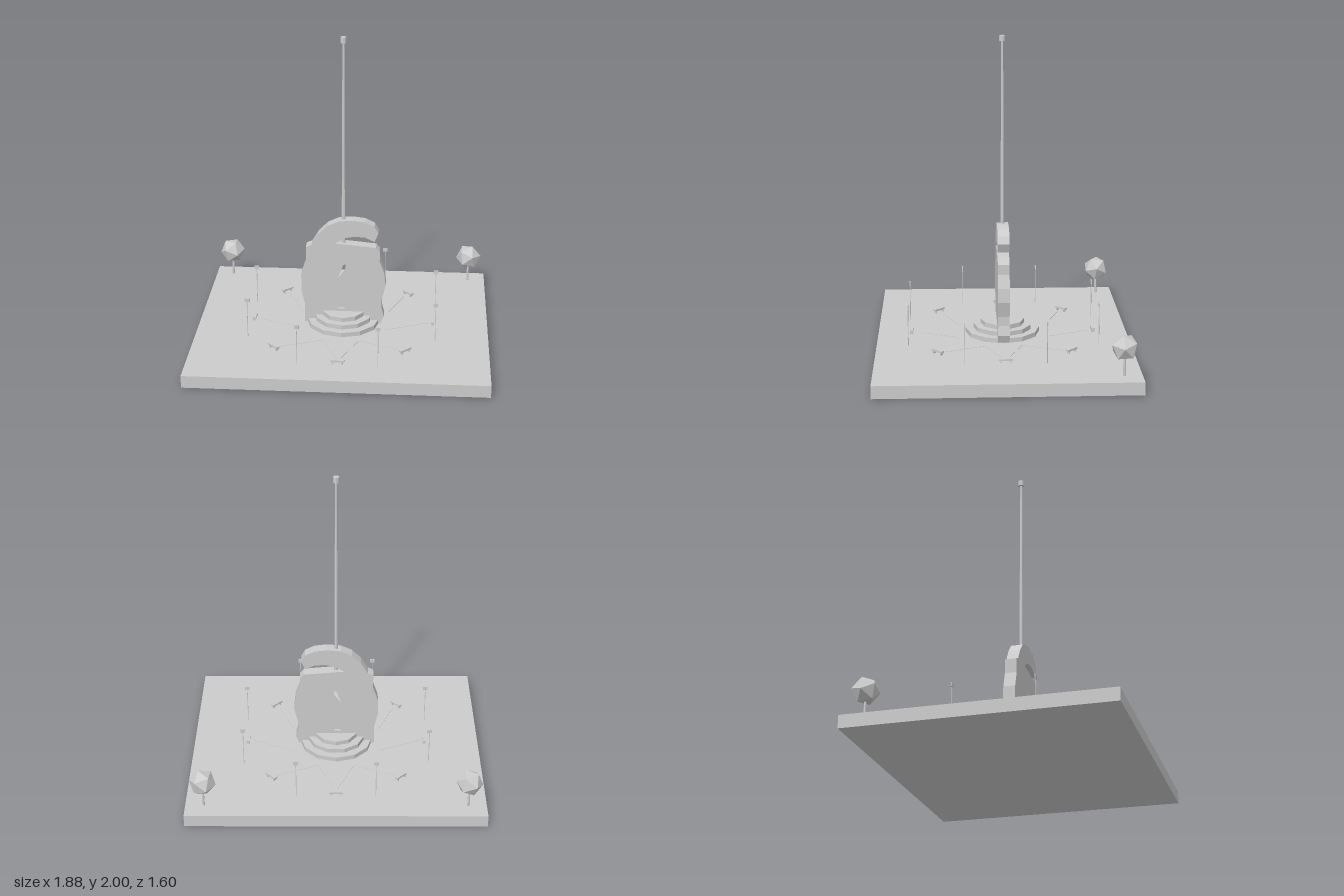
import * as THREE from 'three';

export function createModel() {
  const model = new THREE.Group();
  const stone = new THREE.MeshStandardMaterial({ color: 0xcccccc, flatShading: true });
  stone.name = 'pale stone';

  function add(name, geometry, x, y, z, parent = model) {
    const mesh = new THREE.Mesh(geometry, stone);
    mesh.name = name;
    mesh.position.set(x, y, z);
    parent.add(mesh);
    return mesh;
  }
  const points = (list) => list.map(([x, y]) => new THREE.Vector2(x, y));

  // Square ground slab
  add('plaza', new THREE.BoxGeometry(1.88, 0.08, 1.6), 0, 0.04, 0);

  // Star paving, barely raised from the slab
  const star = [];
  for (let i = 0; i < 16; i++) {
    const r = i % 2 ? 0.3 : 0.55, a = i * Math.PI / 8;
    star.push([r * Math.sin(a), r * Math.cos(a)]);
  }
  const paving = new THREE.ExtrudeGeometry(new THREE.Shape(points(star)), { depth: 0.002, bevelEnabled: false });
  add('starPaving', paving.rotateX(-Math.PI / 2), 0, 0.08, 0);

  // Stepped pedestal
  [0.237, 0.188, 0.14].forEach((r, i) => {
    add('pedestalStep', new THREE.CylinderGeometry(r, r, 0.03, 12 - i), 0, 0.097 + i * 0.029, 0);
  });

  // Upright monument with a hooked crest
  const outline = new THREE.Shape(points([
    [-0.25, 0.09], [-0.25, 0.22], [-0.273, 0.32], [-0.272, 0.43], [-0.238, 0.53], [-0.24, 0.62],
    [-0.205, 0.635], [-0.16, 0.71], [-0.1, 0.77], [-0.03, 0.802], [0.06, 0.81], [0.14, 0.8],
    [0.2, 0.77], [0.225, 0.725], [0.2, 0.667], [0.14, 0.695], [0.07, 0.7], [0, 0.685],
    [-0.05, 0.648], [0.03, 0.642], [0.21, 0.625], [0.235, 0.595], [0.235, 0.53], [0.265, 0.45],
    [0.275, 0.36], [0.25, 0.26], [0.25, 0.2], [0.265, 0.14], [0.245, 0.09],
  ]));
  outline.holes.push(new THREE.Path(points([[-0.035, 0.405], [0, 0.5], [0.015, 0.505], [0.013, 0.47]])));
  outline.holes.push(new THREE.Path(points([[-0.035, 0.19], [-0.02, 0.2], [0.01, 0.2], [0.01, 0.188], [-0.02, 0.186]])));
  add('monument', new THREE.ExtrudeGeometry(outline, { depth: 0.074, bevelEnabled: false }), 0, 0, -0.037);

  // Tall mast and its cap
  add('mast', new THREE.CylinderGeometry(0.007, 0.013, 1.33, 8), 0, 1.305, 0);
  add('mastCap', new THREE.CylinderGeometry(0.019, 0.019, 0.036, 8), 0, 1.982, 0);

  // Ring of benches
  for (let i = 0; i < 8; i++) {
    const a = i * Math.PI / 4;
    const bench = new THREE.Group();
    bench.name = 'bench';
    bench.position.set(0.585 * Math.sin(a), 0.08, 0.585 * Math.cos(a));
    bench.rotation.y = a;
    add('benchSeat', new THREE.BoxGeometry(0.085, 0.012, 0.024), 0, 0.022, 0, bench);
    for (const s of [-1, 1]) add('benchLeg', new THREE.BoxGeometry(0.006, 0.016, 0.02), s * 0.03, 0.008, 0, bench);
    model.add(bench);
  }

  // Lamps and corner trees, mirrored
  for (const sx of [-1, 1]) {
    for (const sz of [-1, 1]) {
      for (const [x, z] of [[0.6, 0.25], [0.25, 0.6]]) {
        add('lampPost', new THREE.CylinderGeometry(0.0025, 0.0025, 0.25, 6), sx * x, 0.205, sz * z);
        add('lampHead', new THREE.BoxGeometry(0.03, 0.024, 0.006), sx * x, 0.333, sz * z);
      }
    }
    add('treeTrunk', new THREE.CylinderGeometry(0.007, 0.009, 0.13, 6), sx * 0.825, 0.143, -0.69);
    const crown = add('treeCrown', new THREE.IcosahedronGeometry(0.085, 0), sx * 0.825, 0.257, -0.69);
    crown.rotation.set(0.3, sx * 0.5, 0.2);
  }

  return model;
}
